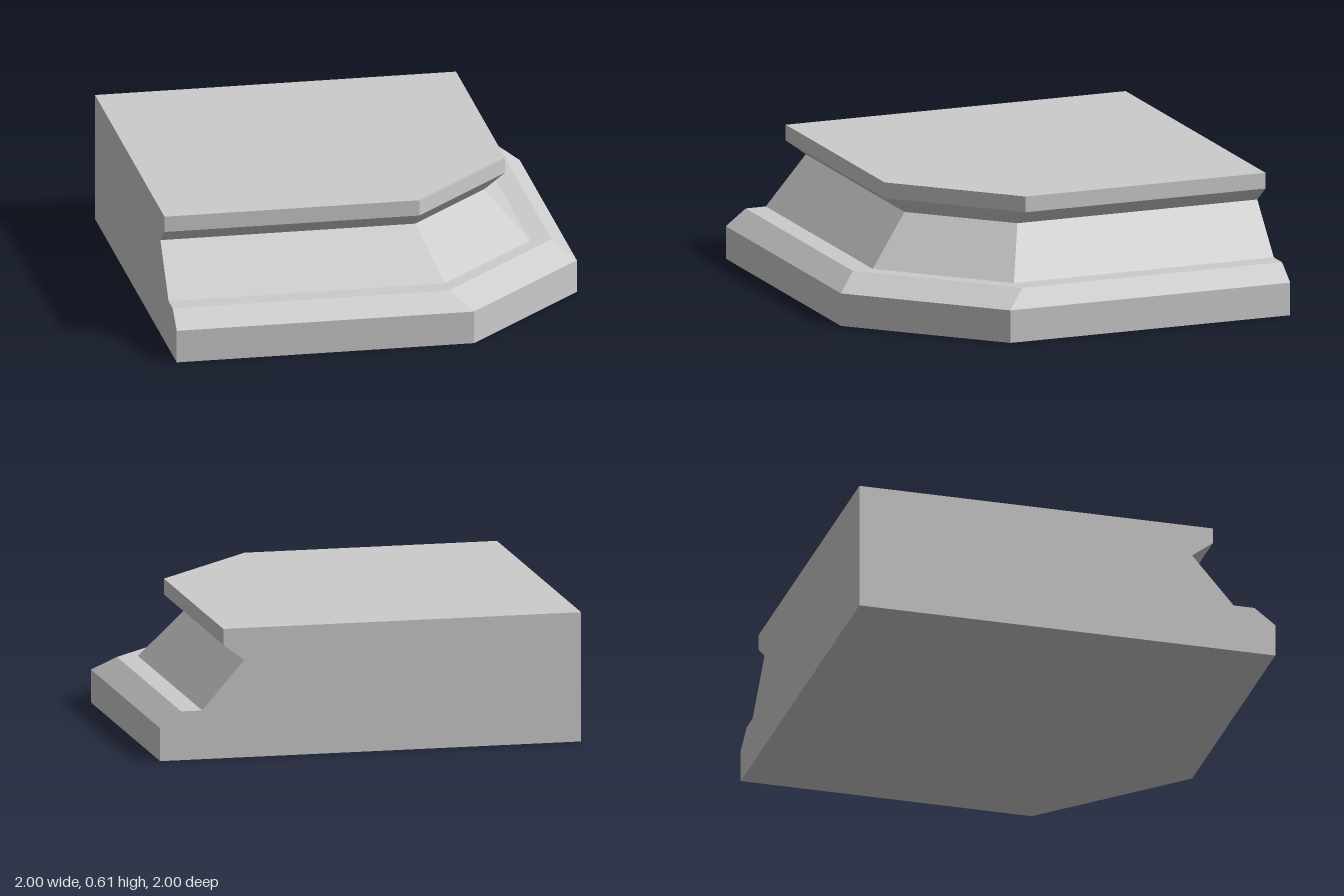
import * as THREE from 'three';

// Cross-section: square at the back and left, with one chamfered corner at front left (+x, +z).
// edge = reach of the front and side faces, corner = where the chamfer begins.
const section = ([y, edge, corner]) => [
  [-1, y, -1], [-1, y, edge], [corner, y, edge], [edge, y, corner], [edge, y, -1],
];

// Joins consecutive levels with flat walls; optional bottom and top caps.
function band(name, levels, { bottom = false, top = false } = {}) {
  const rings = levels.map(section);
  const positions = [];
  const tri = (...corners) => corners.forEach((p) => positions.push(...p));

  for (let k = 0; k < rings.length - 1; k++) {
    const a = rings[k], b = rings[k + 1];
    const flat = levels[k][0] === levels[k + 1][0];
    for (let i = 0; i < 5; i++) {
      const j = (i + 1) % 5;
      if (flat && (i === 0 || i === 4)) continue; // a level ledge has no height on the back walls
      tri(a[i], a[j], b[j]);
      tri(a[i], b[j], b[i]);
    }
  }
  const first = rings[0], last = rings[rings.length - 1];
  for (let i = 1; i < 4; i++) {
    if (bottom) tri(first[0], first[i + 1], first[i]);
    if (top) tri(last[0], last[i], last[i + 1]);
  }

  const geometry = new THREE.BufferGeometry();
  geometry.setAttribute('position', new THREE.Float32BufferAttribute(positions, 3));
  geometry.computeVertexNormals();
  const mesh = new THREE.Mesh(
    geometry,
    new THREE.MeshStandardMaterial({ color: 0xcccccc, flatShading: true }),
  );
  mesh.name = name;
  return mesh;
}

export function createModel() {
  const model = new THREE.Group();
  model.name = 'cornerPedestal';

  // Levels are [height, edge, corner]
  const foot = [0, 1, 0.4];
  const footTop = [0.155, 1, 0.4];
  const ledgeOuter = [0.23, 0.9, 0.3];
  const ledgeInner = [0.23, 0.8, 0.3];
  const neck = [0.46, 0.6, 0.2];
  const capLower = [0.535, 0.7, 0.2];
  const capTop = [0.61, 0.7, 0.2];

  model.add(
    band('plinth', [foot, footTop], { bottom: true }),
    band('bevelAndLedge', [footTop, ledgeOuter, ledgeInner]),
    band('slopedBody', [ledgeInner, neck]),
    band('capSlab', [neck, capLower, capTop], { top: true }),
  );
  return model;
}
